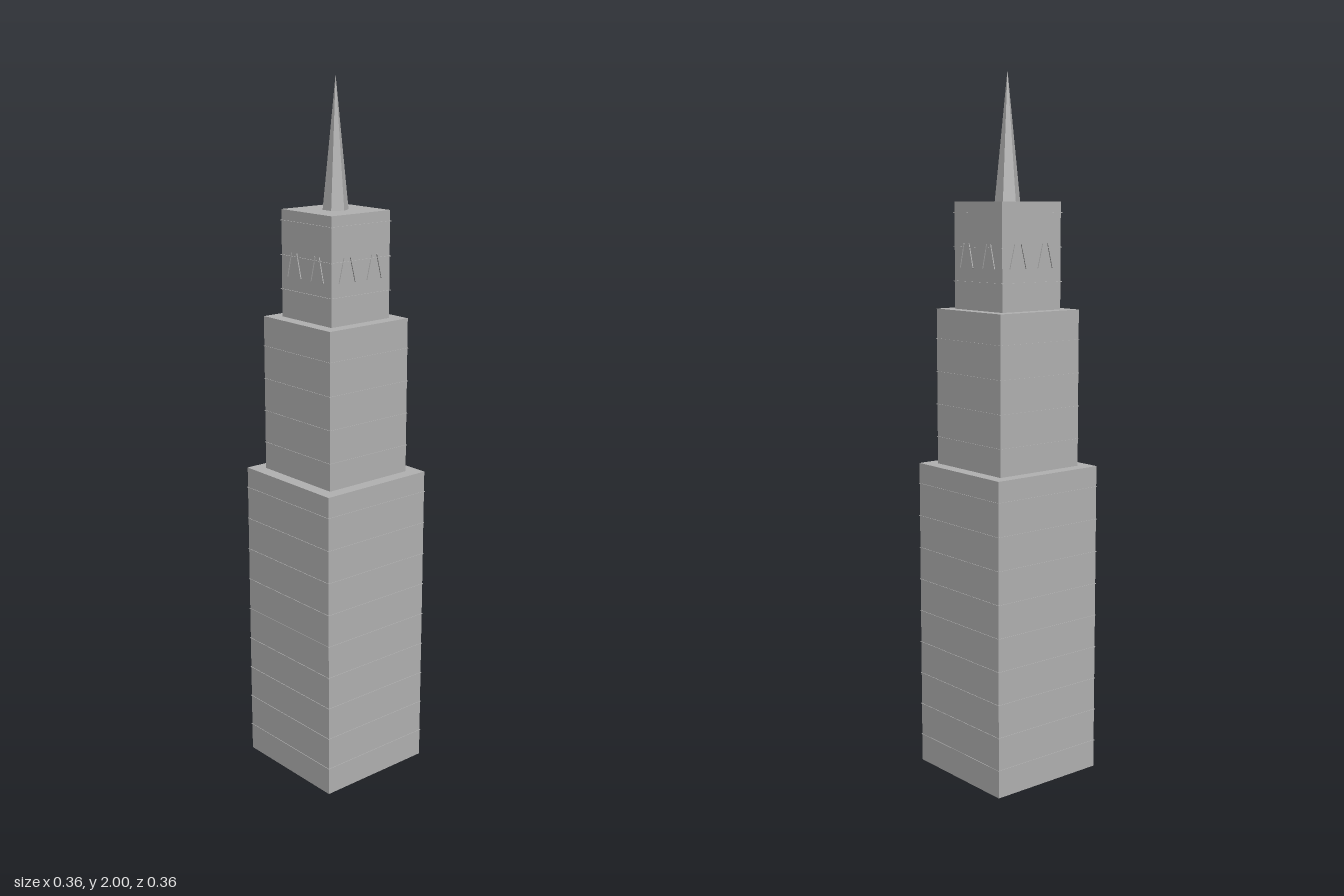
import * as THREE from 'three';

const stone = new THREE.MeshStandardMaterial({ color: 0xb2b2b2, flatShading: true });
stone.name = 'grey stone';

function add(parent, name, geometry, x = 0, y = 0, z = 0) {
  const mesh = new THREE.Mesh(geometry, stone);
  mesh.name = name;
  mesh.position.set(x, y, z);
  parent.add(mesh);
  return mesh;
}

export function createModel() {
  const tower = new THREE.Group();
  tower.name = 'tower';

  // Three stacked blocks, each ringed by thin floor ledges
  const tiers = [
    { name: 'lower', half: 0.18, from: 0, to: 0.9, lip: 0.0018, first: 0.08, step: 0.095, count: 9 },
    { name: 'middle', half: 0.142, from: 0.9, to: 1.345, lip: 0.0018, first: 0.978, step: 0.094, count: 4 },
    { name: 'upper', half: 0.105, from: 1.345, to: 1.643, lip: 0.003, first: 1.423, step: 0.095, count: 3 },
  ];
  for (const t of tiers) {
    const height = t.to - t.from;
    add(tower, `${t.name}Block`, new THREE.BoxGeometry(t.half * 2, height, t.half * 2), 0, t.from + height / 2, 0);
    const width = 2 * (t.half + t.lip);
    const ledge = new THREE.BoxGeometry(width, 0.002, width);
    for (let i = 0; i < t.count; i++) add(tower, `${t.name}Ledge`, ledge, 0, t.first + i * t.step, 0);
  }

  // Slanted slivers of trim around the upper block
  const sliver = new THREE.BoxGeometry(0.002, 0.07, 0.003);
  for (let side = 0; side < 4; side++) {
    const trim = new THREE.Group();
    trim.name = 'upperTrim';
    trim.rotation.y = side * Math.PI / 2;
    [-0.07, -0.03, 0.03, 0.065].forEach((x, i) => {
      add(trim, 'trimSliver', sliver, x, 1.495, 0.1065).rotation.z = i % 2 ? 0.25 : -0.25;
    });
    tower.add(trim);
  }

  // Six-sided spire
  add(tower, 'spire', new THREE.ConeGeometry(0.036, 0.357, 6), 0, 1.643 + 0.357 / 2, 0);

  return tower;
}
